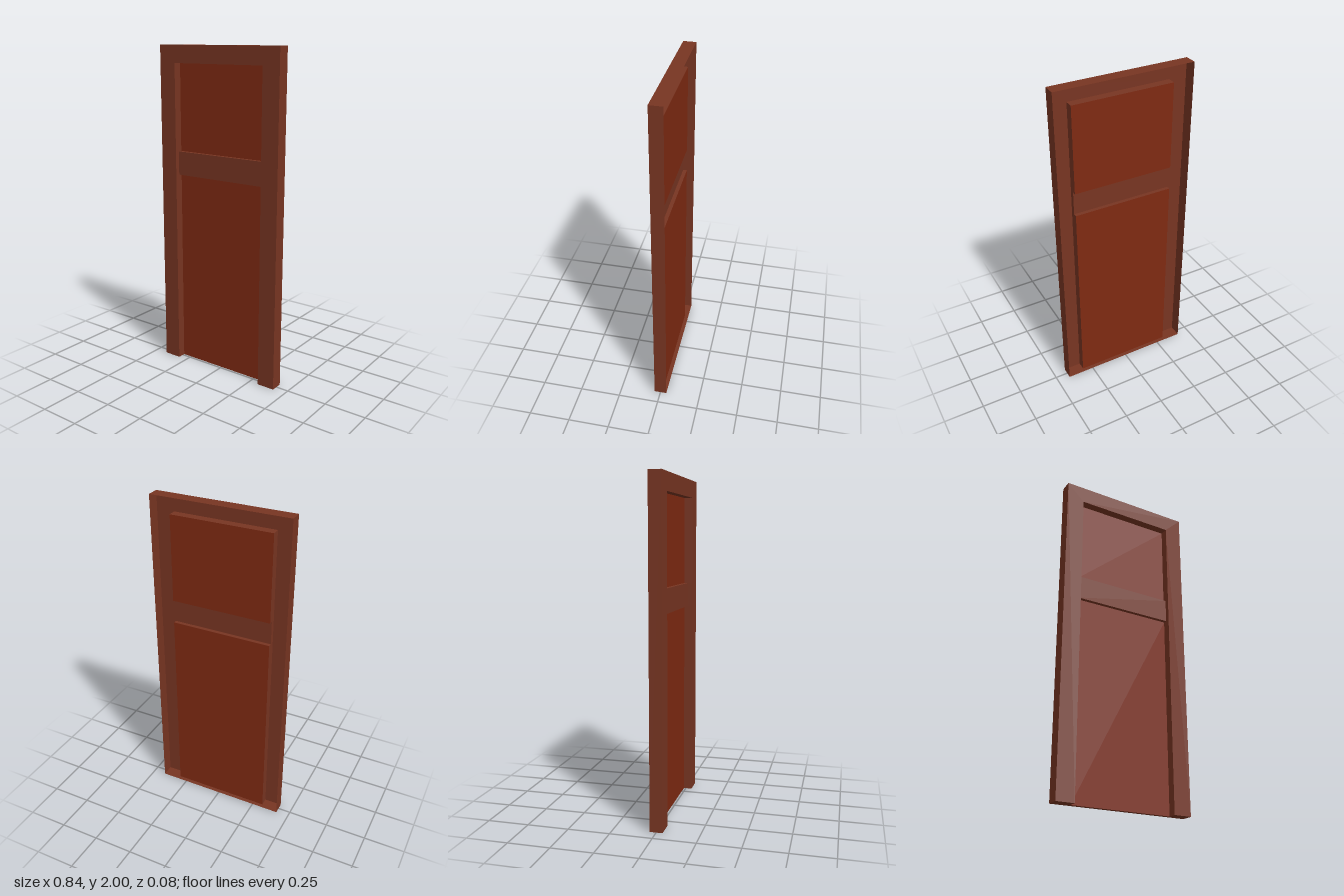
import * as THREE from 'three';

export function createModel() {
  const door = new THREE.Group();
  door.name = 'panelDoor';

  const frameMat = new THREE.MeshStandardMaterial({ color: 0x783522, side: THREE.DoubleSide, flatShading: true });
  const panelMat = new THREE.MeshStandardMaterial({ color: 0x7f2a12, side: THREE.DoubleSide, flatShading: true });

  const W = 0.42, H = 2, D = 0.038;               // half width, height, half depth
  const w = 0.31, top = 1.895;                    // half width and top of the opening
  const railLow = 1.22, railHigh = 1.365;
  const panelZ = -0.013, railZ = 0.01;            // depths of the recessed surfaces

  const add = (name, geometry, material) => {
    const mesh = new THREE.Mesh(geometry, material);
    mesh.name = name;
    door.add(mesh);
    return mesh;
  };
  const outline = (pts) => new THREE.ShapeGeometry(new THREE.Shape(pts.map((p) => new THREE.Vector2(...p))));

  // Sheets facing the front, across the width, and along the sides
  const facing = (name, y0, y1, z, mat) =>
    add(name, new THREE.PlaneGeometry(2 * w, y1 - y0).translate(0, (y0 + y1) / 2, z), mat);
  const ledge = (name, half, y, z0, z1, up) =>
    add(name, new THREE.PlaneGeometry(2 * half, z1 - z0).rotateX(up ? -Math.PI / 2 : Math.PI / 2)
      .translate(0, y, (z0 + z1) / 2), frameMat);
  const side = (name, x, y0, y1, z0, z1, dir) =>
    add(name, new THREE.PlaneGeometry(z1 - z0, y1 - y0).rotateY(dir * Math.PI / 2)
      .translate(x, (y0 + y1) / 2, (z0 + z1) / 2), frameMat);

  // Front face of the frame, open down to the floor
  add('frameFront', outline([[-W, 0], [-w, 0], [-w, top], [w, top], [w, 0], [W, 0], [W, H], [-W, H]])
    .translate(0, 0, D), frameMat);

  // Bottom, notched in front of the lower panel
  add('frameBottom', outline([[-W, -D], [W, -D], [W, D], [w, D], [w, panelZ], [-w, panelZ], [-w, D], [-W, D]])
    .rotateX(Math.PI / 2), frameMat);

  // Top of the frame and head of the opening
  ledge('frameTop', W, H, -D, D, true);
  ledge('openingHead', w, top, panelZ, D, false);

  // Outer sides and stepped inner walls of the opening
  for (const [label, s] of [['left', 1], ['right', -1]]) {
    side(label + 'OuterSide', s * W, 0, H, -D, D, s);
    side(label + 'LowerJamb', s * w, 0, railLow, panelZ, D, -s);
    side(label + 'RailJamb', s * w, railLow, railHigh, railZ, D, -s);
    side(label + 'UpperJamb', s * w, railHigh, top, panelZ, D, -s);
  }

  // Recessed panels
  facing('lowerPanel', 0, railLow, panelZ, panelMat);
  facing('upperPanel', railHigh, top, panelZ, panelMat);

  // Cross rail, stepped forward from the panels
  facing('railFront', railLow, railHigh, railZ, frameMat);
  ledge('railTop', w, railHigh, panelZ, railZ, true);
  ledge('railUnderside', w, railLow, panelZ, railZ, false);

  return door;
}
